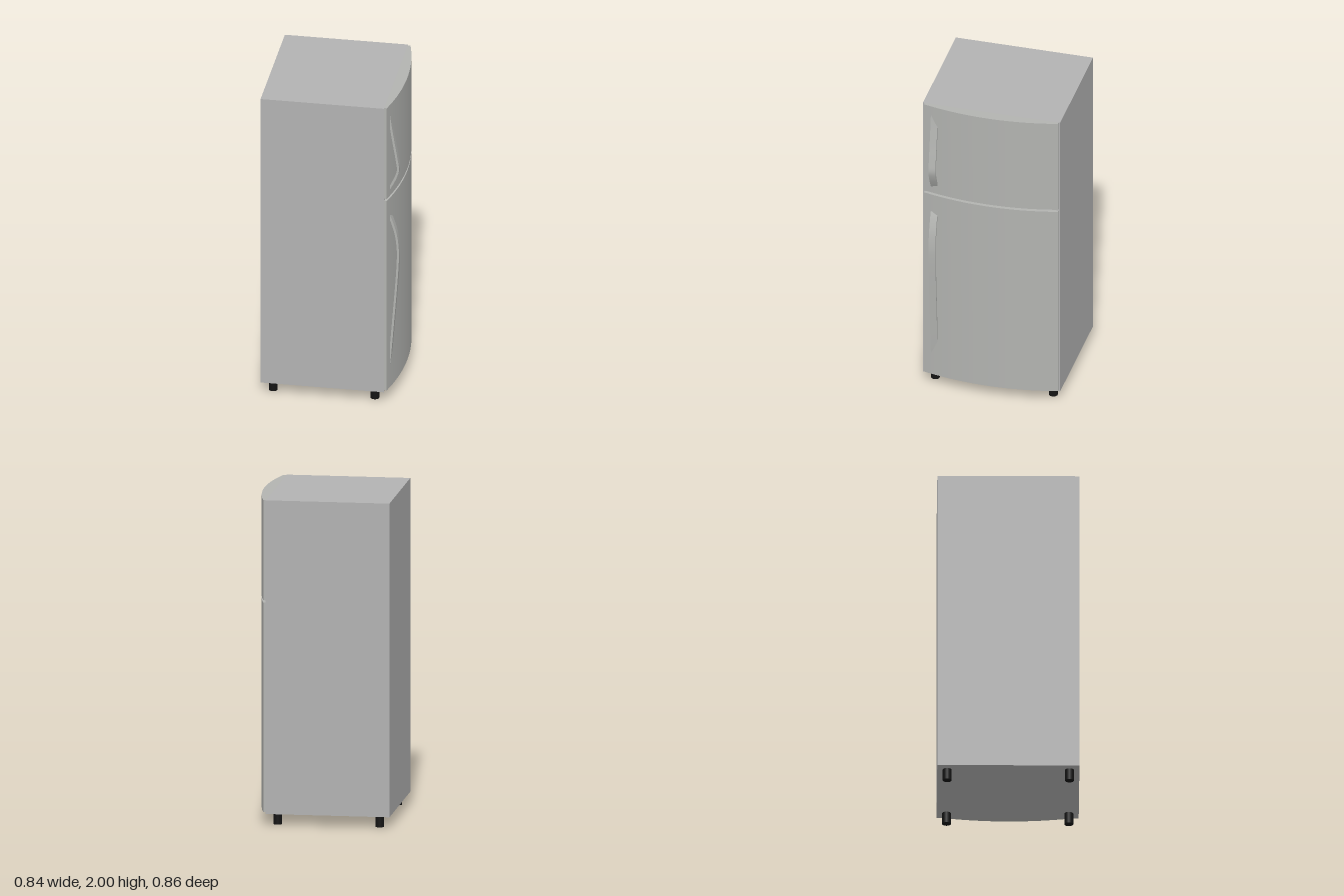
import * as THREE from 'three';
import { toCreasedNormals } from 'three/addons/utils/BufferGeometryUtils.js';

const mat = (name, color) => {
  const m = new THREE.MeshStandardMaterial({ color });
  m.name = name;
  return m;
};

export function createModel() {
  const group = new THREE.Group();
  group.name = 'refrigerator';
  const grey = mat('cabinet grey', 0xb2b2b2);
  const doorGrey = mat('door grey', 0xb2b3b0);
  const black = mat('foot black', 0x141414);

  const add = (name, geometry, material, x = 0, y = 0, z = 0) => {
    const mesh = new THREE.Mesh(geometry, material);
    mesh.name = name;
    mesh.position.set(x, y, z);
    group.add(mesh);
  };

  // Cabinet
  add('cabinet', new THREE.BoxGeometry(0.757, 1.93, 0.86), grey, -0.0435, 1.035, 0);

  // Doors with a gently bowed face
  const half = 0.42, edgeX = 0.351, bow = 0.054;
  const radius = (half * half + bow * bow) / (2 * bow);
  const angle = Math.asin(half / radius);
  const addDoor = (name, bottom, top) => {
    const s = new THREE.Shape();
    s.moveTo(0.334, -half);
    s.lineTo(edgeX, -half);
    s.absarc(edgeX + bow - radius, 0, radius, -angle, angle, false);
    s.lineTo(0.334, half);
    s.closePath();
    const g = new THREE.ExtrudeGeometry(s, { depth: top - bottom, bevelEnabled: false, curveSegments: 28 });
    g.rotateX(-Math.PI / 2);
    add(name, toCreasedNormals(g, 0.5), doorGrey, 0, bottom, 0);
  };
  addDoor('freezerDoor', 1.383, 2);
  addDoor('fridgeDoor', 0.08, 1.368);

  // Bent strip handles: a curve in the x-y plane, thickened and extruded across z
  const addHandle = (name, points) => {
    const curve = new THREE.CatmullRomCurve3(points.map(([x, y]) => new THREE.Vector3(x, y, 0)));
    const outer = [], inner = [];
    for (let i = 0; i <= 32; i++) {
      const p = curve.getPoint(i / 32), t = curve.getTangent(i / 32);
      outer.push(new THREE.Vector2(p.x, p.y));
      inner.unshift(new THREE.Vector2(p.x + t.y * 0.013, p.y - t.x * 0.013));
    }
    const g = new THREE.ExtrudeGeometry(new THREE.Shape([...outer, ...inner]), { depth: 0.043, bevelEnabled: false });
    add(name, toCreasedNormals(g, 0.5), doorGrey, 0, 0, 0.33);
  };
  addHandle('freezerHandle', [[0.362, 1.945], [0.37, 1.88], [0.39, 1.75], [0.41, 1.63], [0.418, 1.56], [0.405, 1.51], [0.382, 1.46], [0.363, 1.425]]);
  addHandle('fridgeHandle', [[0.363, 1.25], [0.382, 1.2], [0.405, 1.12], [0.417, 1.02], [0.417, 0.94], [0.409, 0.8], [0.39, 0.55], [0.37, 0.3], [0.362, 0.22]]);

  // Feet
  for (const x of [-0.354, 0.27])
    for (const z of [-0.37, 0.37])
      add('foot', new THREE.CylinderGeometry(0.027, 0.027, 0.072, 20), black, x, 0.036, z);

  return group;
}
